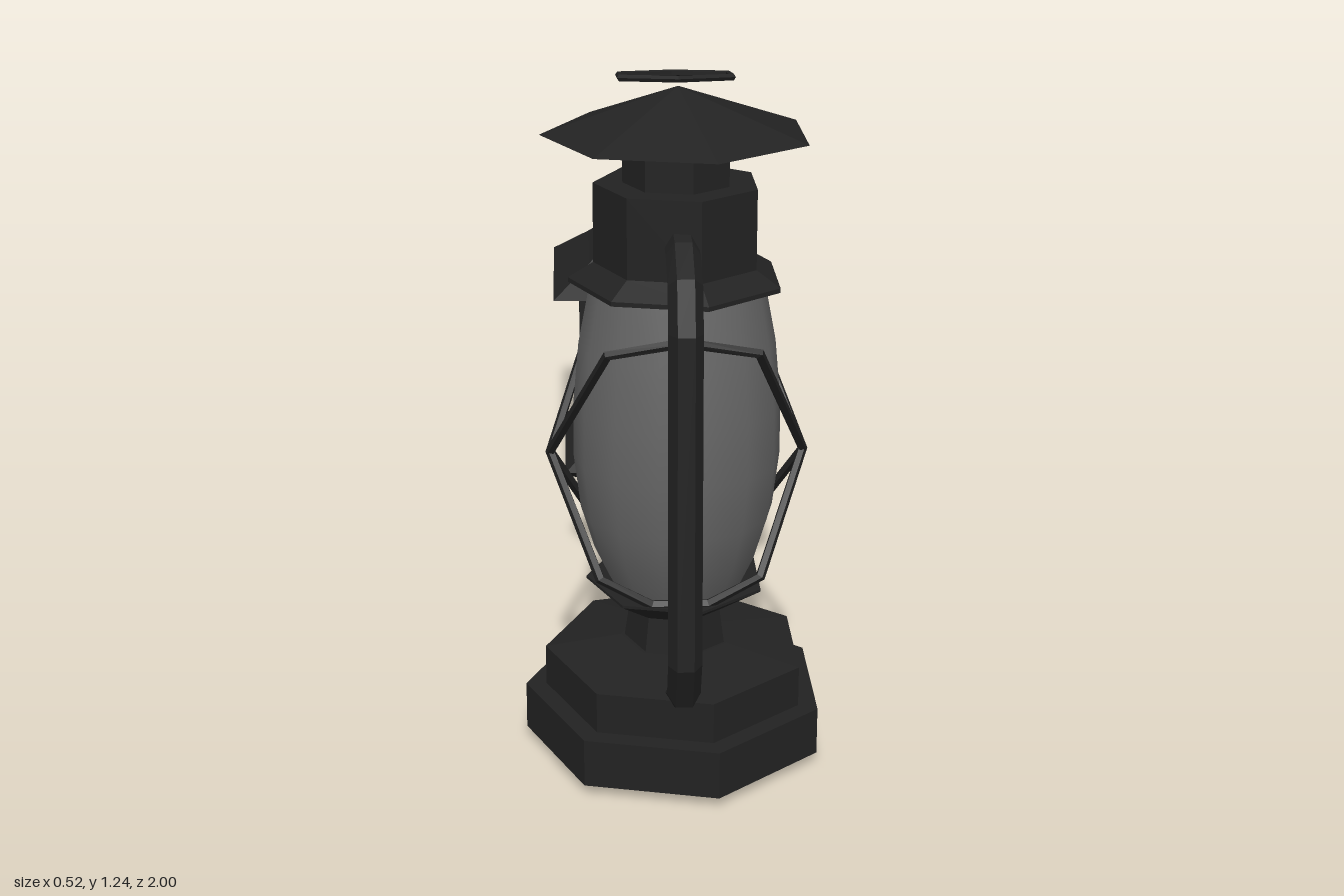
import * as THREE from 'three';

const metal = new THREE.MeshStandardMaterial({ color: 0x222222, side: THREE.DoubleSide });
metal.name = 'dark metal';
const glass = new THREE.MeshStandardMaterial({ color: 0x666666 });
glass.name = 'grey glass';

const V = (x, y, z) => new THREE.Vector3(x, y, z);

function add(parent, name, geometry, material = metal) {
  const mesh = new THREE.Mesh(geometry, material);
  mesh.name = name;
  parent.add(mesh);
  return mesh;
}

// Faceted turned form; profile is [radius, y] from bottom to top
function turned(profile, sides, start) {
  const pts = profile.map(([r, y]) => new THREE.Vector2(r, y));
  const geo = new THREE.LatheGeometry(pts, sides, start).toNonIndexed();
  geo.computeVertexNormals();
  return geo;
}
const hepta = (profile) => turned(profile, 7, -Math.PI / 2);
const square = (profile) =>
  turned(profile.map(([h, y]) => [h * Math.SQRT2, y]), 4, Math.PI / 4);

// Straight-segment path whose tube rings fall exactly on its corners
class Polyline extends THREE.Curve {
  constructor(points) {
    super();
    this.points = points;
  }
  getPoint(t, target = new THREE.Vector3()) {
    const n = this.points.length - 1;
    const i = Math.min(Math.floor(t * n), n - 1);
    return target.lerpVectors(this.points[i], this.points[i + 1], t * n - i);
  }
  getPointAt(u, target) { return this.getPoint(u, target); }
  getTangentAt(u, target) { return this.getTangent(u, target); }
}

function wire(points, radius, sides, closed) {
  const path = closed ? [...points, points[0]] : points;
  const geo = new THREE.TubeGeometry(new Polyline(path), path.length - 1, radius, sides, closed).toNonIndexed();
  geo.computeVertexNormals();
  return geo;
}

function hurricaneLantern() {
  const g = new THREE.Group();
  g.name = 'hurricaneLantern';

  // Stepped fuel base
  add(g, 'base', hepta([[0, 0.02], [0.276, 0.02], [0.276, 0.108], [0.239, 0.108],
    [0.239, 0.183], [0.1, 0.205], [0, 0.205]]));
  // Burner neck and its flared collar
  add(g, 'burner', hepta([[0.095, 0.2], [0.085, 0.268], [0.163, 0.318], [0.163, 0.323], [0, 0.323]]));

  // Smooth glass globe
  const globe = [[0.12, 0.32], [0.148, 0.38], [0.172, 0.46], [0.184, 0.56],
    [0.183, 0.66], [0.173, 0.77], [0.15, 0.89]].map(([r, y]) => new THREE.Vector2(r, y));
  add(g, 'globe', new THREE.LatheGeometry(globe, 14, -Math.PI / 2), glass);

  // Hood, chimney and rain cap
  add(g, 'hood', hepta([[0, 0.88], [0.19, 0.88], [0.19, 0.888], [0.146, 0.915], [0.146, 1.056], [0, 1.056]]));
  add(g, 'chimney', hepta([[0.095, 1.05], [0.095, 1.145]]));
  add(g, 'rainCap', hepta([[0, 1.14], [0.236, 1.14], [0, 1.222]]));

  for (const s of [1, -1]) {
    // Side frame tube
    const frame = [[0.12, 0.975], [0.17, 0.973], [0.232, 0.94], [0.258, 0.865],
      [0.283, 0.285], [0.25, 0.215], [0.19, 0.185]].map(([d, y]) => V(0, y, s * d));
    add(g, s > 0 ? 'frontFrame' : 'backFrame', wire(frame, 0.029, 6, false));

    // Tilted guard wire around the globe
    const half = [[0.125, 0.812, 0.2], [0.225, 0.565, 0], [0.14, 0.375, -0.13], [0.05, 0.325, -0.13]];
    const guard = [V(0, 0.325, -0.13 * s),
      ...[...half].reverse().map(([x, y, z]) => V(-x, y, z * s)),
      V(0, 0.835, 0.21 * s),
      ...half.map(([x, y, z]) => V(x, y, z * s))];
    add(g, s > 0 ? 'guardWireA' : 'guardWireB', wire(guard, 0.009, 5, true));
  }

  // Hexagonal carrying ring lying back from the cap
  const ring = [V(0.1, 1.218, -0.11)];
  for (let i = 0; i < 6; i++) {
    const a = Math.PI / 6 + (i * Math.PI) / 3;
    const dz = 0.112 * Math.sin(a);
    ring.push(V(0.112 * Math.cos(a), 1.218 + dz * 0.14, -0.11 + dz));
  }
  ring[0].lerpVectors(ring[6], ring[1], 0.5);
  add(g, 'carryRing', wire(ring, 0.006, 5, true));

  g.position.set(0.012, 0, 0.692);
  return g;
}

function squareLantern() {
  const g = new THREE.Group();
  g.name = 'squareLantern';

  add(g, 'base', square([[0, 0], [0.19, 0], [0.214, 0.02], [0.18, 0.045], [0, 0.045]]));
  add(g, 'roof', square([[0, 0.468], [0.237, 0.468], [0.15, 0.535], [0.068, 0.605], [0.063, 0.642], [0, 0.642]]));
  add(g, 'topPlate', square([[0, 0.64], [0.09, 0.64], [0.09, 0.652], [0, 0.652]]));

  // Glass box between corner posts
  const pane = new THREE.BoxGeometry(0.324, 0.43, 0.324);
  add(g, 'glassPanes', pane, glass).position.y = 0.255;
  for (const x of [1, -1]) for (const z of [1, -1]) {
    add(g, 'cornerPost', new THREE.BoxGeometry(0.028, 0.435, 0.028)).position.set(x * 0.16, 0.257, z * 0.16);
  }

  // Rails below and above the panes
  for (const y of [0.053, 0.462]) {
    add(g, 'rail', new THREE.BoxGeometry(0.336, 0.018, 0.336)).position.y = y;
  }

  // Hanging loop
  const loop = [V(0, 0.655, 0), V(0, 0.655, 0.02), V(0, 0.735, 0.031), V(0, 0.771, 0),
    V(0, 0.735, -0.031), V(0, 0.655, -0.02)];
  add(g, 'hangingLoop', wire(loop, 0.006, 5, true));

  g.position.set(0.022, 0, -0.763);
  return g;
}

export function createModel() {
  const model = new THREE.Group();
  model.name = 'lanterns';
  model.add(hurricaneLantern(), squareLantern());
  return model;
}
